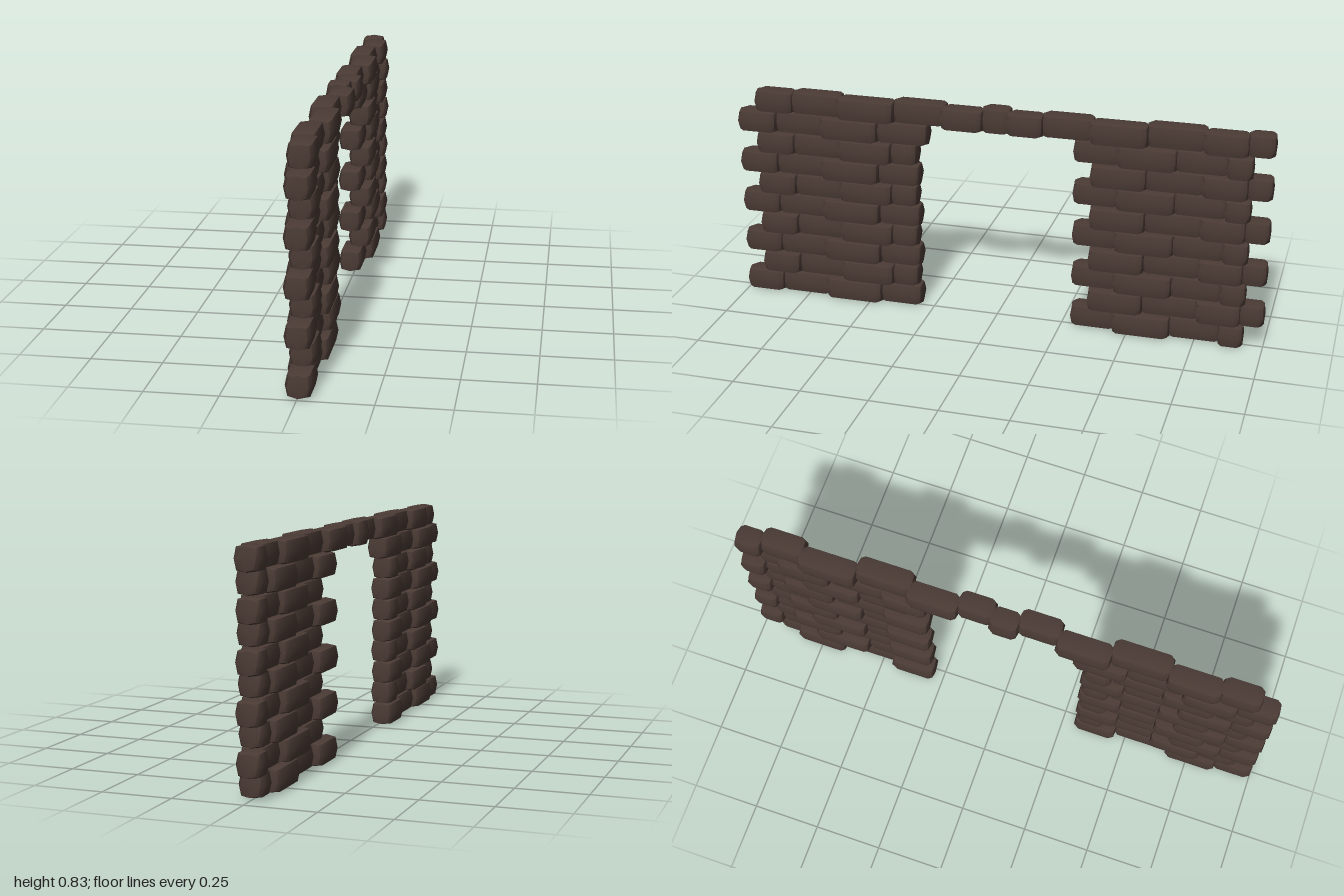
import * as THREE from 'three';
import { mergeVertices, toCreasedNormals } from 'three/addons/utils/BufferGeometryUtils.js';

const ROW = 0.0815, BASE = 0.009, HALF_DEPTH = 0.045;

// Rough-hewn block: every side swells towards its middle, edges are worn in
function blockGeometry(depth, height, length) {
  let g = new THREE.BoxGeometry(2, 2, 2, 2, 2, 4);
  g.deleteAttribute('uv');
  g.deleteAttribute('normal');
  g = mergeVertices(g);
  const p = g.attributes.position;
  const hx = depth / 2, hy = height / 2, hz = length / 2;
  const chamfer = Math.min(0.022, hz * 0.4);
  for (let i = 0; i < p.count; i++) {
    const u = p.getX(i), v = p.getY(i), w = p.getZ(i);
    const end = Math.abs(w) > 0.9;
    const edge = Math.abs(u) + Math.abs(v); // 0 centre, 1 side middle, 2 corner
    const z = end ? hz - (edge > 1.5 ? 0.007 : edge > 0.5 ? 0.003 : 0)
      : Math.abs(w) > 0.1 ? hz - chamfer : 0;
    const x = u * (hx - Math.abs(v) * 0.008 - (end ? 0.009 : 0));
    const y = v * (hy - Math.abs(u) * 0.006 - (end ? 0.004 : 0));
    p.setXYZ(i, x, y, Math.sign(w) * z);
  }
  return toCreasedNormals(g, 0.85);
}

export function createModel() {
  const model = new THREE.Group();
  model.name = 'stoneGateway';
  const stone = new THREE.MeshStandardMaterial({ color: 0x4b3b35 });
  stone.name = 'dark brown stone';

  // Lays blocks between consecutive joints, alternately set forward and back
  function layCourse(name, row, joints, phase) {
    const course = new THREE.Group();
    course.name = name;
    for (let i = 0; i < joints.length - 1; i++) {
      const a = joints[i], b = joints[i + 1];
      const last = i === joints.length - 2;
      const keystone = row === 9 && i === 5;
      const lap = 0.006;
      const z0 = i === 0 ? a : a + lap, z1 = last ? b : b - lap;
      const block = new THREE.Mesh(
        blockGeometry(HALF_DEPTH * 2, keystone ? 0.098 : 0.087, z0 - z1), stone);
      block.name = keystone ? 'keystone' : 'block';
      const side = (i + phase) % 2 ? -1 : 1;
      const outer = i === 0 && joints[0] > 0.9;
      const wobble = 0.003 * Math.sin(row * 2.7 + i * 1.9);
      block.position.set(
        outer ? 0.004 + wobble : side * 0.013 - 0.002 + wobble,
        BASE + (row + 0.5) * ROW, (z0 + z1) / 2);
      course.add(block);
    }
    model.add(course);
  }

  // Two piers with staggered courses
  for (let row = 0; row < 9; row++) {
    const even = row % 2 === 0;
    const inner = row === 8 ? 0.262 : 0.296;
    layCourse('frontPierCourse', row,
      even ? [1, 0.855, 0.667, 0.455, inner] : [0.93, 0.785, 0.6, 0.405, 0.305], 0);
    layCourse('backPierCourse', row,
      even ? [-0.283, -0.45, -0.655, -0.84, -0.93] : [-0.35, -0.55, -0.757, -0.91, -1],
      even ? 1 : 0);
  }

  // Continuous top course bridging the opening
  layCourse('lintelCourse', 9,
    [0.93, 0.785, 0.6, 0.39, 0.2, 0.052, -0.045, -0.17, -0.35, -0.55, -0.755, -0.905, -1], 0);

  return model;
}
